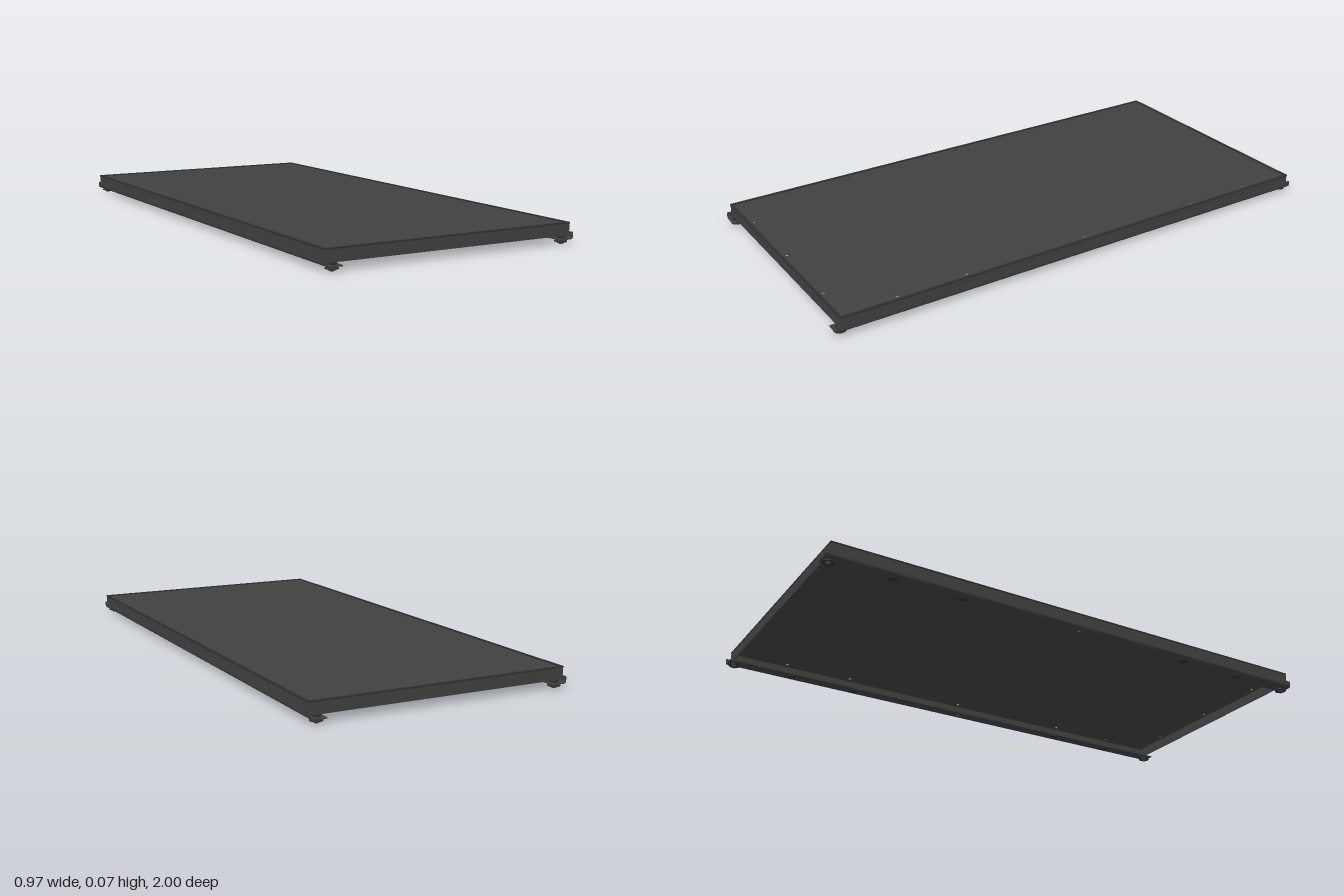
import * as THREE from 'three';

const steel = new THREE.MeshStandardMaterial({ color: 0x404040 });
steel.name = 'dark grey steel';
const trim = new THREE.MeshStandardMaterial({ color: 0x303030 });
trim.name = 'charcoal trim';

function add(parent, name, geometry, material, x = 0, y = 0, z = 0) {
  const mesh = new THREE.Mesh(geometry, material);
  mesh.name = name;
  mesh.position.set(x, y, z);
  parent.add(mesh);
  return mesh;
}

// Horizontal sheet whose top lies at y = 0, pierced by round holes [x, z]
function sheet(x0, x1, z0, z1, thickness, holes, radius) {
  const shape = new THREE.Shape();
  shape.moveTo(x0, z0).lineTo(x1, z0).lineTo(x1, z1).lineTo(x0, z1).closePath();
  for (const [x, z] of holes) {
    shape.holes.push(new THREE.Path().absarc(x, z, radius, 0, Math.PI * 2, true));
  }
  return new THREE.ExtrudeGeometry(shape, { depth: thickness, bevelEnabled: false, curveSegments: 6 })
    .rotateX(Math.PI / 2);
}

// Upright leg of the rail with its rounded lower bend, run along z
function railLeg(side) {
  const s = new THREE.Shape();
  s.moveTo(0.485, 0.042).lineTo(0.485, 0.028);
  s.quadraticCurveTo(0.485, 0.017, 0.474, 0.017);
  s.lineTo(0.47, 0.017).lineTo(0.47, 0.021).lineTo(0.474, 0.021);
  s.quadraticCurveTo(0.481, 0.021, 0.481, 0.028);
  s.lineTo(0.481, 0.042).closePath();
  const g = new THREE.ExtrudeGeometry(s, { depth: 2, bevelEnabled: false, curveSegments: 5 }).translate(0, 0, -1);
  return side > 0 ? g : g.rotateY(Math.PI);
}

export function createModel() {
  const model = new THREE.Group();
  model.name = 'panelTray';

  // Top panel with fixing holes along every edge
  const sideZ = [-0.765, -0.497, 0, 0.497, 0.765];
  const holes = [];
  for (const s of [-1, 1]) {
    for (const z of sideZ) holes.push([s * 0.457, z]);
    for (const x of [-0.305, 0, 0.305]) holes.push([x, s * 0.96]);
  }
  add(model, 'topPanel', sheet(-0.48, 0.48, -0.981, 0.981, 0.004, holes, 0.007), steel, 0, 0.07, 0);

  for (const s of [-1, 1]) {
    // Folded walls
    add(model, 'endWall', new THREE.BoxGeometry(0.966, 0.042, 0.004), steel, 0, 0.049, s * 0.981);
    add(model, 'sideWall', new THREE.BoxGeometry(0.004, 0.048, 1.964), steel, s * 0.481, 0.046, 0);
    // Narrow raised rim
    add(model, 'endRim', new THREE.BoxGeometry(0.97, 0.005, 0.008), trim, 0, 0.0715, s * 0.98);
    add(model, 'sideRim', new THREE.BoxGeometry(0.008, 0.005, 1.952), trim, s * 0.481, 0.0715, 0);

    // Angle rail below each long side
    const rail = new THREE.Group();
    rail.name = s > 0 ? 'leftRail' : 'rightRail';
    model.add(rail);
    add(rail, 'railLeg', railLeg(s), steel);
    const [a, b] = s > 0 ? [0.428, 0.47] : [-0.47, -0.428];
    add(rail, 'railFlange', sheet(a, b, -1, 1, 0.004, [[s * 0.457, 0]], 0.007), steel, 0, 0.021, 0);

    for (const e of [-1, 1]) {
      // Corner bolt: nut, washer, head and tip
      const bolt = new THREE.Group();
      bolt.name = 'cornerBolt';
      bolt.position.set(s * 0.453, 0, e * 0.975);
      rail.add(bolt);
      add(bolt, 'nut', new THREE.CylinderGeometry(0.016, 0.016, 0.008, 6), trim, 0, 0.025, 0);
      add(bolt, 'washer', new THREE.CylinderGeometry(0.022, 0.022, 0.003, 16), trim, 0, 0.0095, 0);
      add(bolt, 'lowerNut', new THREE.CylinderGeometry(0.012, 0.012, 0.005, 6), trim, 0, 0.0055, 0);
      add(bolt, 'shank', new THREE.CylinderGeometry(0.006, 0.006, 0.028, 10), trim, 0, 0.014, 0);

      // Low domed fasteners under the rail
      for (const z of [0.48, 0.745]) {
        const dome = new THREE.SphereGeometry(0.018, 12, 4, 0, Math.PI * 2, Math.PI / 2, Math.PI / 2).scale(1, 0.4, 1);
        add(rail, 'domedFastener', dome, trim, s * 0.453, 0.0172, e * z);
      }
    }
  }
  return model;
}
